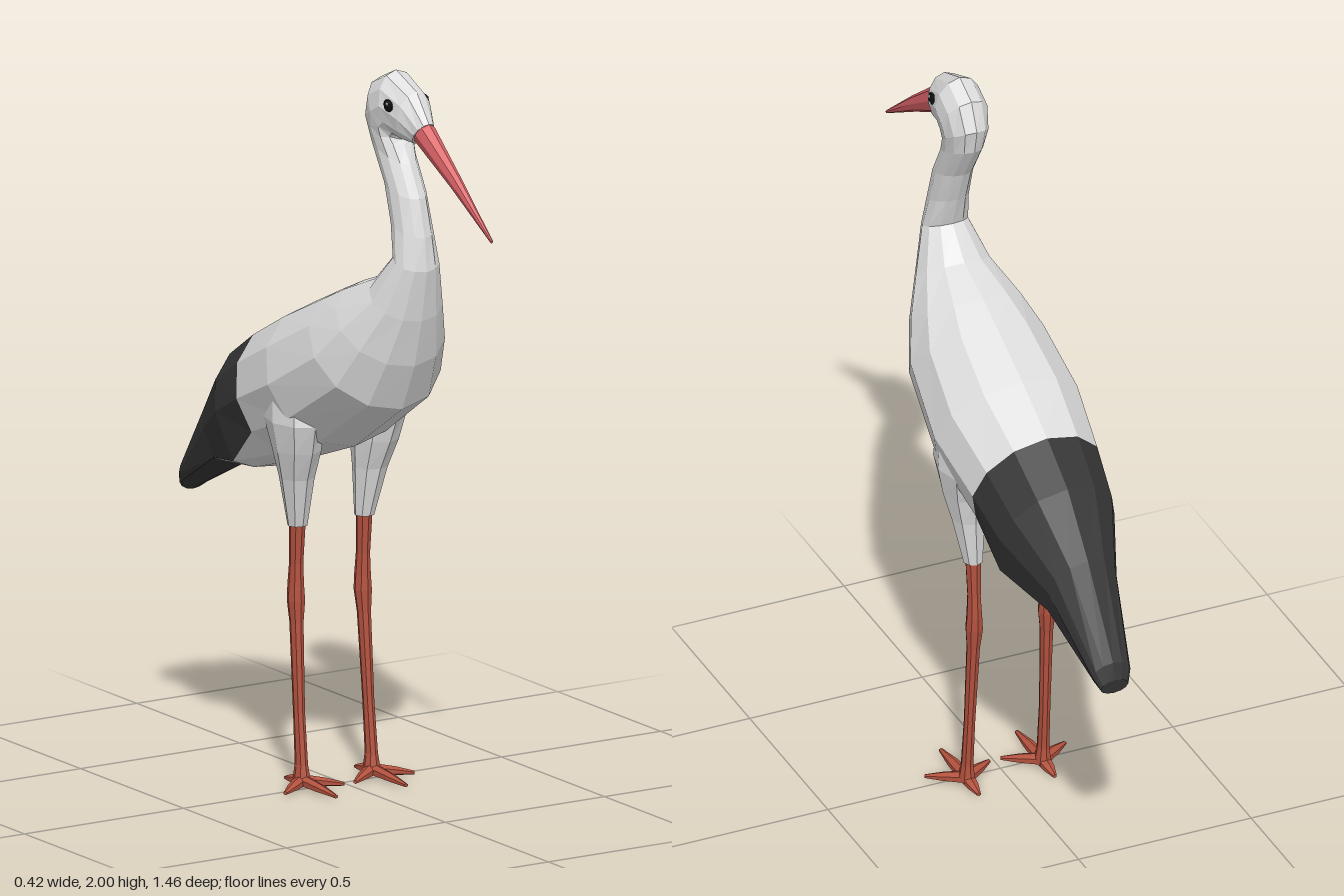
import * as THREE from 'three';

const mat = (name, color) => {
  const m = new THREE.MeshStandardMaterial({ color, flatShading: true });
  m.name = name;
  return m;
};

// Skin a row of elliptical rings. Each ring: [topZ, topY, bottomZ, bottomY, halfWidth, underside power, centreX]
function loft(rows, sides, slotOf = () => 0) {
  const rings = rows.map(([tz, ty, bz, by, w, flat = 1, cx = 0]) => {
    const pts = [];
    for (let j = 0; j < sides; j++) {
      const a = (j / sides) * Math.PI * 2;
      let v = Math.cos(a);
      if (v < -1e-6) v = -Math.pow(-v, flat);
      pts.push([cx + w * Math.sin(a), (ty + by) / 2 + v * (ty - by) / 2, (tz + bz) / 2 + v * (tz - bz) / 2]);
    }
    return { pts, mid: [cx, (ty + by) / 2, (tz + bz) / 2] };
  });
  const slots = [[], []];
  const last = rings.length - 1;
  for (let j = 0; j < sides; j++) {
    const k = (j + 1) % sides;
    for (let i = 0; i < last; i++) {
      const a = rings[i].pts[j], b = rings[i].pts[k], c = rings[i + 1].pts[k], d = rings[i + 1].pts[j];
      slots[slotOf(i, j)].push(...a, ...b, ...c, ...a, ...c, ...d);
    }
    slots[slotOf(0, j)].push(...rings[0].mid, ...rings[0].pts[k], ...rings[0].pts[j]);
    slots[slotOf(last, j)].push(...rings[last].mid, ...rings[last].pts[j], ...rings[last].pts[k]);
  }
  const g = new THREE.BufferGeometry();
  g.setAttribute('position', new THREE.Float32BufferAttribute([...slots[0], ...slots[1]], 3));
  g.addGroup(0, slots[0].length / 3, 0);
  if (slots[1].length) g.addGroup(slots[0].length / 3, slots[1].length / 3, 1);
  g.computeVertexNormals();
  return g;
}

export function createModel() {
  const white = mat('whitePlumage', 0xdedede);
  const black = mat('blackPlumage', 0x363636);
  const beakRed = mat('beakRed', 0xdc6468);
  const legRed = mat('legRed', 0xb4523f);
  const eyeDark = mat('eyeDark', 0x101010);
  const root = new THREE.Group();
  root.name = 'wadingBird';
  const add = (name, geo, materials, parent = root) => {
    const m = new THREE.Mesh(geo, materials);
    m.name = name;
    parent.add(m);
    return m;
  };

  // Head, neck, body and tail in one skin; wings and tail are the black faces
  const body = [
    [0.42, 1.885, 0.365, 1.82, 0.03],
    [0.36, 1.96, 0.325, 1.82, 0.054],
    [0.26, 2.0, 0.29, 1.825, 0.065],
    [0.185, 1.965, 0.285, 1.815, 0.066],
    [0.15, 1.89, 0.3, 1.80, 0.058],
    [0.165, 1.82, 0.33, 1.755, 0.05],
    [0.235, 1.71, 0.375, 1.67, 0.05],
    [0.275, 1.61, 0.4, 1.57, 0.054],
    [0.305, 1.52, 0.41, 1.48, 0.065],
    [0.23, 1.44, 0.385, 1.34, 0.105],
    [0.11, 1.395, 0.35, 1.21, 0.155],
    [0.02, 1.355, 0.29, 1.08, 0.19],
    [-0.14, 1.28, 0.06, 0.93, 0.21],
    [-0.3, 1.195, -0.16, 0.85, 0.185],
    [-0.43, 1.11, -0.3, 0.8, 0.165, 0.3],
    [-0.56, 0.96, -0.485, 0.775, 0.1, 0.3],
    [-0.72, 0.735, -0.7, 0.66, 0.055],
    [-0.735, 0.69, -0.725, 0.645, 0.04],
  ];
  const wingStart = 13, tailStart = 15;
  const isBlack = (i, j) => (i >= tailStart || (i >= wingStart && (j < 4 || j > 7)) ? 1 : 0);
  add('body', loft(body, 12, isBlack), [white, black]);

  // Beak, from the tip back into the face
  add('beak', loft([
    [0.727, 1.634, 0.724, 1.626, 0.004],
    [0.56, 1.775, 0.54, 1.735, 0.016],
    [0.425, 1.882, 0.375, 1.825, 0.028],
    [0.36, 1.9, 0.34, 1.85, 0.025],
  ], 8), [beakRed]);

  for (const s of [1, -1]) {
    const side = s > 0 ? 'left' : 'right';

    // Eye with a small glint
    const eye = add(side + 'Eye', new THREE.SphereGeometry(0.02, 10, 6), eyeDark);
    eye.scale.set(0.4, 0.85, 1);
    eye.position.set(s * 0.057, 1.92, 0.31);
    const glint = add(side + 'EyeGlint', new THREE.SphereGeometry(0.005, 6, 4), white);
    glint.position.set(s * 0.063, 1.926, 0.314);

    // Leg parts: rings of [y, centreX, centreZ, radiusX, radiusZ]
    const limb = (rows) => loft(rows.map(([y, x, z, rx, rz]) => [z - rz, y, z + rz, y, rx, 1, s * x]), 8);
    const leg = new THREE.Group();
    leg.name = side + 'Leg';
    root.add(leg);
    add(side + 'Thigh', limb([
      [1.08, 0.12, -0.04, 0.075, 0.1],
      [1.0, 0.13, -0.035, 0.067, 0.105],
      [0.92, 0.122, -0.035, 0.06, 0.078],
      [0.84, 0.115, -0.045, 0.046, 0.052],
      [0.705, 0.105, -0.057, 0.027, 0.027],
    ]), [white], leg);
    add(side + 'Shin', limb([
      [0.72, 0.105, -0.057, 0.022, 0.024],
      [0.6, 0.105, -0.063, 0.018, 0.021],
      [0.54, 0.105, -0.065, 0.021, 0.025],
      [0.5, 0.105, -0.064, 0.024, 0.026],
      [0.44, 0.106, -0.06, 0.018, 0.021],
      [0.2, 0.109, -0.043, 0.015, 0.018],
      [0.06, 0.11, -0.03, 0.016, 0.021],
      [0.01, 0.11, -0.028, 0.024, 0.028],
    ]), [legRed], leg);

    // Four toes spread from the ankle
    for (const [angle, length] of [[0, 0.165], [0.98, 0.112], [-0.98, 0.112], [Math.PI, 0.08]]) {
      const toe = add(side + 'Toe', loft([
        [length, 0.012, length, 0.002, 0.006],
        [length * 0.55, 0.024, length * 0.55, 0, 0.016],
        [-0.01, 0.034, -0.01, 0, 0.022],
      ], 6), [legRed], leg);
      toe.position.set(s * 0.11, 0, -0.026);
      toe.rotation.y = angle;
    }
  }
  return root;
}
